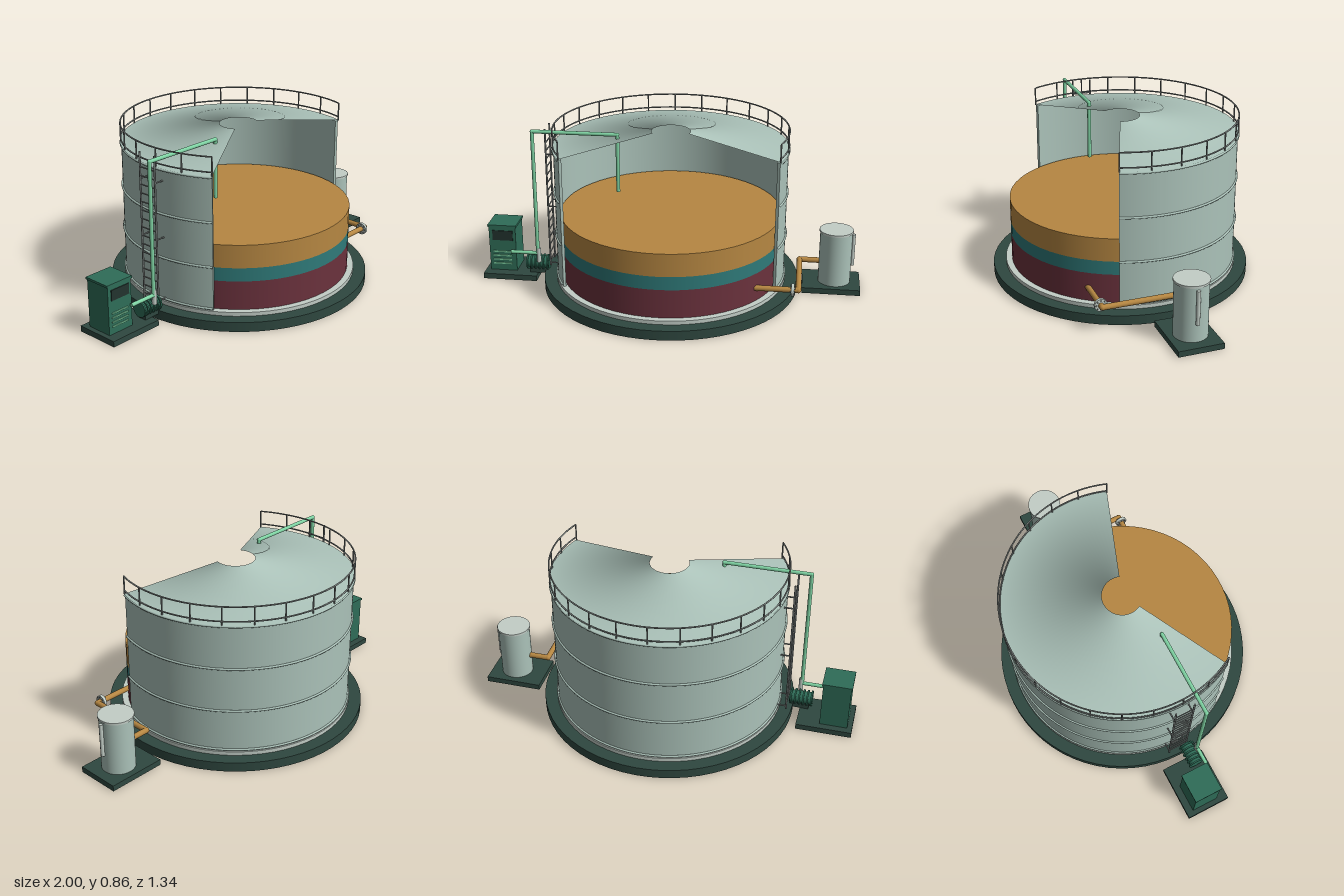
import * as THREE from 'three';
import { toCreasedNormals } from 'three/addons/utils/BufferGeometryUtils.js';

const rad = THREE.MathUtils.degToRad;
const START = rad(70), SWEEP = rad(230); // shell sweep, measured from +z towards +x
const mat = (color, side = THREE.FrontSide) => new THREE.MeshStandardMaterial({ color, side });
const M = {
  slab: mat(0x2f4840), shell: mat(0xabc2b9), roof: mat(0xabc2b9, THREE.DoubleSide), pale: mat(0xc3cec7),
  rail: mat(0x7c8280), orange: mat(0xb68742), teal: mat(0x2f7a79), maroon: mat(0x6b323d),
  cabinet: mat(0x2f6d58), dark: mat(0x23332e), pipe: mat(0x7fd3a3),
};

export function createModel() {
  const model = new THREE.Group();
  const add = (name, geo, m, x = 0, y = 0, z = 0, parent = model) => {
    const mesh = new THREE.Mesh(geo, m);
    mesh.name = name;
    mesh.position.set(x, y, z);
    parent.add(mesh);
    return mesh;
  };
  const group = (name) => {
    const g = new THREE.Group();
    g.name = name;
    model.add(g);
    return g;
  };
  // Upright disc between two heights
  const disc = (name, r, y0, y1, m, x = 0, z = 0, parent = model) =>
    add(name, new THREE.CylinderGeometry(r, r, y1 - y0, 64), m, x, (y0 + y1) / 2, z, parent);
  // Round bar between two points
  const bar = (name, a, b, r, m, parent = model, sides = 12) => {
    const p = new THREE.Vector3(...a), q = new THREE.Vector3(...b), d = q.clone().sub(p);
    const mesh = add(name, new THREE.CylinderGeometry(r, r, d.length(), sides), m, 0, 0, 0, parent);
    mesh.position.copy(p).add(q).multiplyScalar(0.5);
    mesh.quaternion.setFromUnitVectors(new THREE.Vector3(0, 1, 0), d.normalize());
    return mesh;
  };
  // Pipe run with ball elbows
  const pipe = (name, pts, r, m) => {
    const g = group(name);
    pts.slice(1).forEach((p, i) => bar('pipeSection', pts[i], p, r, m, g, 16));
    pts.slice(1, -1).forEach((p) => add('elbow', new THREE.SphereGeometry(r * 1.05, 16, 10), m, ...p, g));
  };
  // Hoop that follows the cutaway shell
  const hoop = (name, r, y, t, m, parent = model) => {
    const geo = new THREE.TorusGeometry(r, t, 8, 80, SWEEP);
    geo.rotateX(-Math.PI / 2).rotateY(START - Math.PI / 2);
    return add(name, geo, m, 0, y, 0, parent);
  };

  // Foundation, floor plate and liquid layers
  disc('foundation', 0.672, 0, 0.05, M.slab);
  disc('floorPlate', 0.607, 0.05, 0.07, M.pale);
  disc('lowerLayer', 0.575, 0.07, 0.22, M.maroon);
  disc('middleLayer', 0.575, 0.22, 0.29, M.teal);
  disc('upperLayer', 0.575, 0.29, 0.41, M.orange);

  // Cutaway shell wall
  const a0 = START - Math.PI / 2, a1 = a0 + SWEEP;
  const ring = new THREE.Shape();
  ring.absarc(0, 0, 0.6, a0, a1, false);
  ring.absarc(0, 0, 0.585, a1, a0, true);
  const wall = new THREE.ExtrudeGeometry(ring, { depth: 0.69, bevelEnabled: false, curveSegments: 72 });
  wall.rotateX(-Math.PI / 2);
  add('shellWall', toCreasedNormals(wall, rad(30)), M.shell, 0, 0.07, 0);
  for (const y of [0.08, 0.3, 0.53, 0.755]) hoop('shellHoop', 0.602, y, 0.006, M.shell);

  // Conical roof with an open crown, softened towards the opening
  const roof = new THREE.CylinderGeometry(0.1, 0.607, 0.072, 72, 1, true, START, SWEEP);
  const pos = roof.attributes.position, nor = roof.attributes.normal;
  for (let i = 0; i < pos.count; i++) {
    if (pos.getY(i) < 0) continue;
    const n = new THREE.Vector3(pos.getX(i) * 10, 0.9, pos.getZ(i) * 10).normalize();
    nor.setXYZ(i, n.x, n.y, n.z);
  }
  add('roof', roof, M.roof, 0, 0.799, 0);

  // Guard rail around the roof edge
  const guard = group('guardRail');
  hoop('topRail', 0.602, 0.857, 0.004, M.rail, guard);
  hoop('toeRail', 0.602, 0.782, 0.004, M.rail, guard);
  for (let i = 0; i <= 16; i++) {
    const t = START + (SWEEP * i) / 16, x = 0.602 * Math.sin(t), z = 0.602 * Math.cos(t);
    bar('railPost', [x, 0.762, z], [x, 0.857, z], 0.004, M.rail, guard, 8);
  }

  // Access ladder
  const ladder = group('ladder');
  for (const z of [-0.05, 0.05]) {
    bar('ladderRail', [-0.645, 0.07, z], [-0.645, 0.835, z], 0.005, M.rail, ladder, 8);
    for (const y of [0.085, 0.41, 0.7]) bar('ladderBracket', [-0.645, y, z], [-0.595, y, z], 0.004, M.rail, ladder, 8);
  }
  for (let i = 0; i < 16; i++) {
    const y = 0.1 + i * 0.044;
    bar('ladderRung', [-0.645, y, -0.05], [-0.645, y, 0.05], 0.0035, M.rail, ladder, 8);
  }

  // Control cabinet on its slab
  const cabinet = group('controlCabinet');
  add('cabinetSlab', new THREE.BoxGeometry(0.29, 0.03, 0.235), M.slab, -0.855, 0.015, -0.002, cabinet);
  add('cabinetBody', new THREE.BoxGeometry(0.145, 0.255, 0.142), M.cabinet, -0.902, 0.1575, -0.012, cabinet);
  add('cabinetLid', new THREE.BoxGeometry(0.155, 0.012, 0.15), M.cabinet, -0.902, 0.285, -0.012, cabinet);
  add('cabinetWindow', new THREE.BoxGeometry(0.11, 0.055, 0.006), M.dark, -0.9, 0.232, 0.06, cabinet);
  for (let i = 0; i < 4; i++)
    add('cabinetLouver', new THREE.BoxGeometry(0.1, 0.007, 0.008), M.pipe, -0.905, 0.07 + i * 0.023, 0.06, cabinet);

  // Ribbed pump
  const pump = group('pump');
  bar('pumpBody', [-0.77, 0.085, 0.045], [-0.65, 0.085, 0.045], 0.033, M.cabinet, pump, 24);
  for (let i = 0; i < 6; i++) {
    const x = -0.767 + i * 0.0215;
    bar('pumpRib', [x - 0.004, 0.085, 0.045], [x + 0.004, 0.085, 0.045], 0.042, M.cabinet, pump, 24);
  }
  add('pumpFoot', new THREE.BoxGeometry(0.09, 0.03, 0.05), M.slab, -0.71, 0.045, 0.045, pump);

  // Feed pipe over the roof and down into the tank
  const z = 0.08;
  pipe('feedPipe', [[-0.85, 0.15, z], [-0.705, 0.15, z], [-0.705, 0.83, z], [-0.263, 0.83, z], [-0.263, 0.525, z]], 0.01, M.pipe);
  bar('feedStub', [-0.7, 0.1, z], [-0.7, 0.18, z], 0.012, M.pale);

  // Outlet pipe with a bolted flange
  pipe('outletPipe', [[0.46, 0.14, 0.33], [0.68, 0.14, 0.33], [0.68, 0.14, -0.04], [0.8, 0.14, -0.04]], 0.0145, M.orange);
  const flange = group('outletFlange');
  bar('flangeDisc', [0.645, 0.14, 0.33], [0.66, 0.14, 0.33], 0.032, M.pale, flange, 32);
  for (let i = 0; i < 8; i++) {
    const t = (i * Math.PI) / 4, y = 0.14 + 0.024 * Math.sin(t), bz = 0.33 + 0.024 * Math.cos(t);
    bar('flangeBolt', [0.64, y, bz], [0.665, y, bz], 0.004, M.rail, flange, 6);
  }

  // Collecting vessel on its slab with a sight tube
  const vessel = group('vessel');
  add('vesselSlab', new THREE.BoxGeometry(0.302, 0.03, 0.23), M.slab, 0.849, 0.015, -0.04, vessel);
  disc('vesselBody', 0.084, 0.03, 0.315, M.shell, 0.865, -0.04, vessel);
  disc('vesselLid', 0.088, 0.311, 0.322, M.pale, 0.865, -0.04, vessel);
  bar('sightTube', [0.955, 0.125, -0.036], [0.955, 0.3, -0.036], 0.01, M.pale, vessel, 16);
  for (const y of [0.14, 0.285]) bar('sightTubeFitting', [0.93, y, -0.036], [0.955, y, -0.036], 0.006, M.pale, vessel, 8);

  return model;
}
